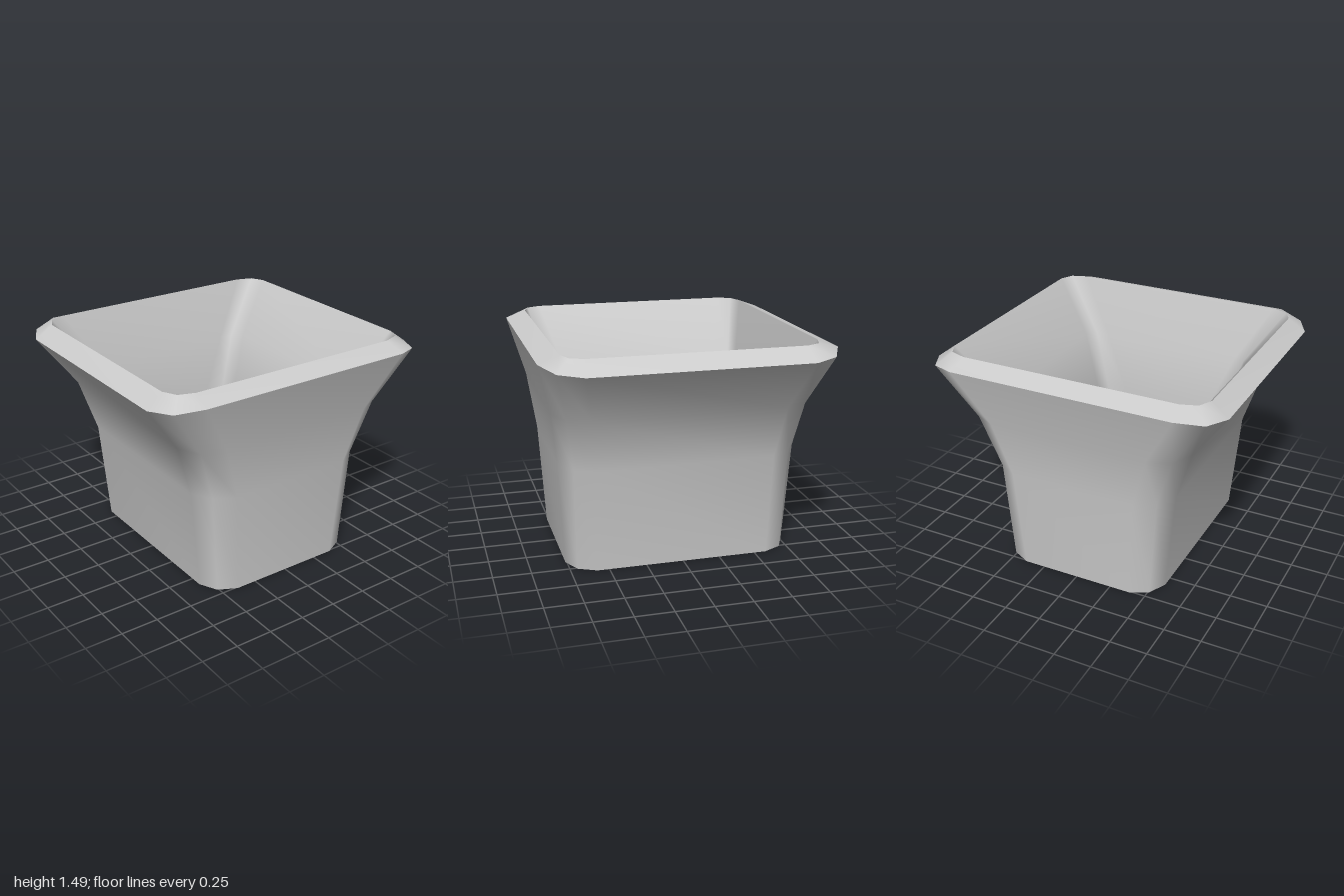
import * as THREE from 'three';

// One corner of a ring: side point, corner point, front point, each [x, y, z]
const bottom = [[0.57, 0, 0.58], [0.51, 0, 0.70], [0.39, 0, 0.76]];
const outerWaist = [[0.635, 0.70, 0.59], [0.56, 0.70, 0.72], [0.43, 0.70, 0.80]];
const outerFlare = [[0.75, 1.06, 0.63], [0.68, 1.06, 0.775], [0.54, 1.07, 0.85]];
const outerLip = [[1, 1.40, 0.71], [0.92, 1.41, 0.865], [0.75, 1.435, 0.95]];
const innerLip = [[0.885, 1.485, 0.69], [0.84, 1.485, 0.78], [0.735, 1.485, 0.815]];
const innerFlare = [[0.623, 1.125, 0.58], [0.585, 1.11, 0.68], [0.5, 1.09, 0.711]];
const innerWaist = [[0.495, 0.73, 0.52], [0.46, 0.72, 0.62], [0.34, 0.715, 0.658]];
const floorEdge = [[0.47, 0.10, 0.52], [0.44, 0.10, 0.61], [0.34, 0.10, 0.655]];

// Mirror a corner into a closed ring of 12 points
function ring(corner) {
  const back = [...corner].reverse();
  const flip = (pts, sx, sz) => pts.map(([x, y, z]) => [x * sx, y, z * sz]);
  return [...corner, ...flip(back, -1, 1), ...flip(corner, -1, -1), ...flip(back, 1, -1)];
}

function geometry(points, index) {
  const g = new THREE.BufferGeometry();
  g.setAttribute('position', new THREE.Float32BufferAttribute(points.flat(), 3));
  g.setIndex(index);
  g.computeVertexNormals();
  return g;
}

// Smooth band through a series of rings
function loft(corners) {
  const points = corners.flatMap(ring);
  const index = [];
  for (let i = 0; i < corners.length - 1; i++) {
    for (let j = 0; j < 12; j++) {
      const a = i * 12 + j, b = i * 12 + (j + 1) % 12;
      index.push(a, a + 12, b + 12, a, b + 12, b);
    }
  }
  return geometry(points, index);
}

// Flat cap over one ring
function cap(corner, up) {
  const index = [];
  for (let k = 1; k < 11; k++) index.push(0, ...(up ? [k + 1, k] : [k, k + 1]));
  return geometry(ring(corner), index);
}

export function createModel() {
  const group = new THREE.Group();
  group.name = 'flaredPlanter';
  const material = new THREE.MeshStandardMaterial({ color: 0xcccccc });
  const parts = {
    outerWall: loft([bottom, outerWaist, outerFlare, outerLip]),
    rim: loft([outerLip, innerLip]),
    innerWall: loft([innerLip, innerFlare, innerWaist, floorEdge]),
    innerFloor: cap(floorEdge, true),
    base: cap(bottom, false),
  };
  for (const [name, geo] of Object.entries(parts)) {
    const mesh = new THREE.Mesh(geo, material);
    mesh.name = name;
    group.add(mesh);
  }
  return group;
}
